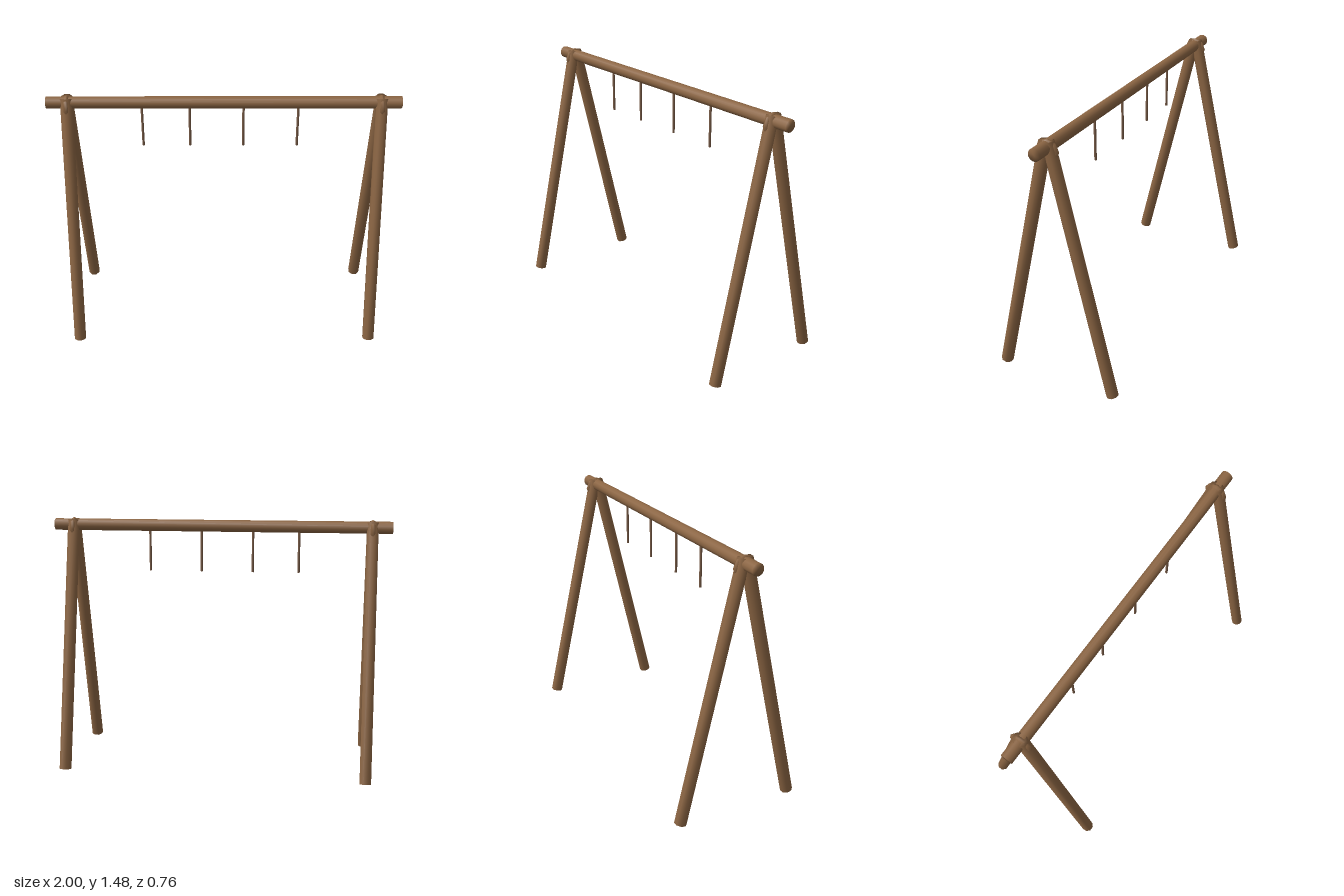
import * as THREE from 'three';
import { mergeVertices } from 'three/addons/utils/BufferGeometryUtils.js';

const UP = new THREE.Vector3(0, 1, 0);

// Drop the split normals so shading runs softly over the sawn ends
function soften(geometry) {
  geometry.deleteAttribute('normal');
  geometry.deleteAttribute('uv');
  const merged = mergeVertices(geometry, 1e-4);
  merged.computeVertexNormals();
  return merged;
}

// Round pole running from point a to point b
function pole(name, a, b, radius, sides, material) {
  const from = new THREE.Vector3(...a);
  const to = new THREE.Vector3(...b);
  const axis = to.clone().sub(from);
  const geometry = new THREE.CylinderGeometry(radius, radius, axis.length(), sides);
  geometry.rotateY(Math.PI / sides);
  const mesh = new THREE.Mesh(soften(geometry), material);
  mesh.name = name;
  mesh.position.copy(from).add(to).multiplyScalar(0.5);
  mesh.quaternion.setFromUnitVectors(UP, axis.normalize());
  return mesh;
}

export function createModel() {
  const model = new THREE.Group();
  model.name = 'swingFrame';

  const wood = new THREE.MeshStandardMaterial({ color: 0x8b6543 });
  wood.name = 'brown wood';
  const rope = new THREE.MeshStandardMaterial({ color: 0x7a5d48 });
  rope.name = 'brown rope';

  // Top beam
  model.add(pole('beam', [-1, 1.435, 0], [1, 1.435, 0], 0.035, 12, wood));

  for (const side of [-1, 1]) {
    const x = side * 0.885;
    const end = new THREE.Group();
    end.name = side > 0 ? 'leftEndFrame' : 'rightEndFrame';

    // Splayed pair of legs
    for (const face of [1, -1]) {
      end.add(pole(face > 0 ? 'frontLeg' : 'backLeg',
        [x, 0.008, face * 0.348], [x, 1.462, face * 0.008], 0.035, 8, wood));
    }

    // Lashing around the joint
    const lashing = new THREE.Mesh(
      soften(new THREE.TorusGeometry(0.053, 0.015, 6, 8)), wood);
    lashing.name = 'lashing';
    lashing.rotation.y = Math.PI / 2;
    lashing.position.set(x, 1.411, 0);
    end.add(lashing);
    model.add(end);
  }

  // Hanging rope ends
  for (const x of [-0.465, -0.195, 0.11, 0.42]) {
    model.add(pole('hangingRope', [x, 1.165, 0], [x, 1.42, 0], 0.007, 6, rope));
  }

  return model;
}
